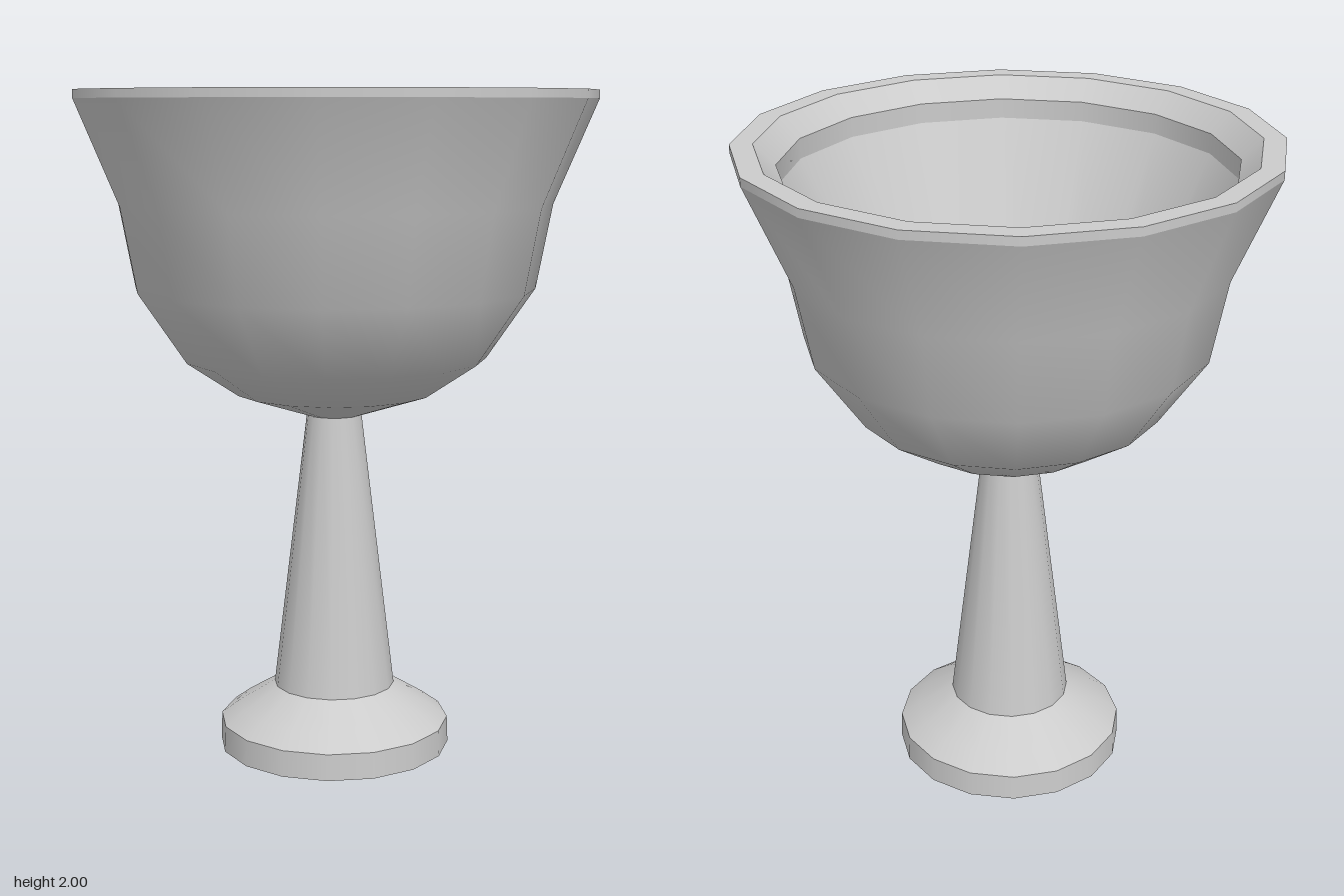
import * as THREE from 'three';

const material = new THREE.MeshStandardMaterial({ color: 0xcccccc });
const SIDES = 16;

// Each strip is a smooth run of [radius, height]; edges between strips stay sharp.
function turned(name, strips) {
  const group = new THREE.Group();
  group.name = name;
  strips.forEach((strip, i) => {
    const points = strip.map(([r, y]) => new THREE.Vector2(r, y));
    const mesh = new THREE.Mesh(new THREE.LatheGeometry(points, SIDES), material);
    mesh.name = `${name}Surface${i + 1}`;
    group.add(mesh);
  });
  return group;
}

export function createModel() {
  const model = new THREE.Group();
  model.name = 'goblet';

  // Foot: flat underside, short side wall, sloping shoulder
  model.add(turned('foot', [
    [[0, 0], [0.355, 0]],
    [[0.355, 0], [0.352, 0.08]],
    [[0.352, 0.08], [0.295, 0.122], [0.185, 0.19]],
  ]));

  // Tapered stem
  model.add(turned('stem', [
    [[0.185, 0.19], [0.083, 1.035]],
  ]));

  // Outside of the bowl, smooth up to the rim band
  model.add(turned('bowlOutside', [
    [[0.083, 1.035], [0.3, 1.105], [0.457, 1.21], [0.6, 1.42], [0.647, 1.67], [0.775, 1.975]],
  ]));

  // Rim: outer band, flat top, inner bevel and a short upright step
  model.add(turned('rim', [
    [[0.775, 1.975], [0.775, 2]],
    [[0.775, 2], [0.71, 2]],
    [[0.71, 2], [0.65, 1.94]],
    [[0.65, 1.94], [0.65, 1.88]],
  ]));

  // Inside of the bowl: sloping wall and flat floor
  model.add(turned('bowlInside', [
    [[0.65, 1.88], [0.345, 1.23]],
    [[0.345, 1.23], [0, 1.23]],
  ]));

  return model;
}
